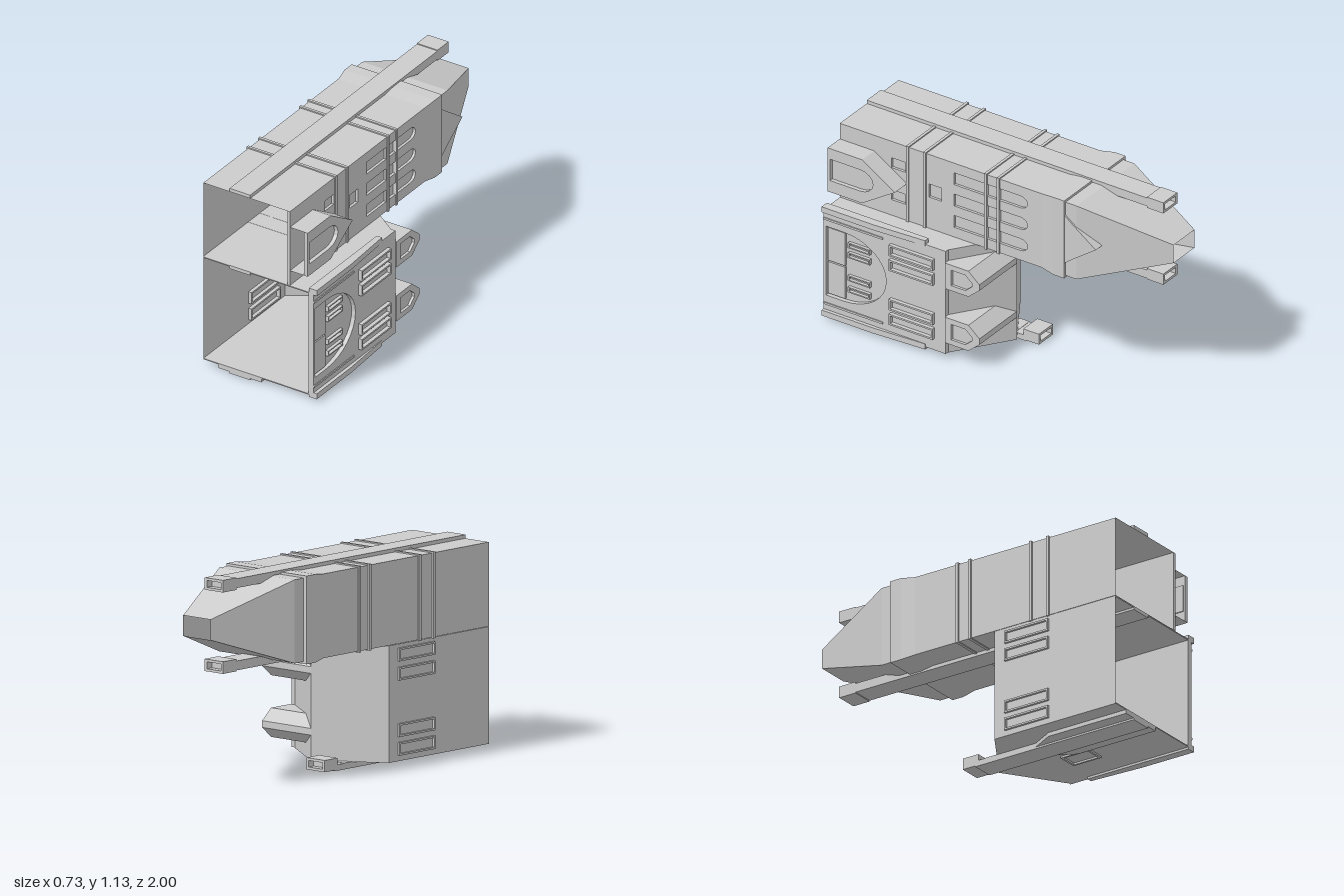
import * as THREE from 'three';

const mat = new THREE.MeshStandardMaterial({ color: 0xcccccc, side: THREE.DoubleSide, flatShading: true });

const rect = (a0, a1, b0, b1) => [[a0, b0], [a1, b0], [a1, b1], [a0, b1]];
// rectangle whose low-a end is rounded
const arch = (a0, a1, b0, b1, n = 8) => {
  const r = (b1 - b0) / 2, c = (b0 + b1) / 2, len = Math.min(r * 1.3, a1 - a0), pts = [[a1, b0]];
  for (let i = 0; i <= n; i++) {
    const t = -Math.PI / 2 + (Math.PI * i) / n;
    pts.push([a0 + len - Math.cos(t) * len, c + Math.sin(t) * r]);
  }
  return [...pts, [a1, b1]];
};
const shapeOf = (pts, holes = []) => {
  const s = new THREE.Shape(pts.map(p => new THREE.Vector2(...p)));
  s.holes = holes.map(h => new THREE.Path(h.map(p => new THREE.Vector2(...p))));
  return s;
};
const extrude = (pts, depth, holes) =>
  new THREE.ExtrudeGeometry(shapeOf(pts, holes), { depth, bevelEnabled: false });
// outline in (z, y), filling x0..x1
const sidePlate = (pts, x0, x1, holes) => extrude(pts, x1 - x0, holes).rotateY(-Math.PI / 2).translate(x1, 0, 0);
// outline in (x, z), filling y0..y1
const flatPlate = (pts, y0, y1, holes) => extrude(pts, y1 - y0, holes).rotateX(Math.PI / 2).translate(0, y1, 0);
// outline in (x, y), filling z0..z1
const crossPlate = (pts, z0, z1, holes) => extrude(pts, z1 - z0, holes).translate(0, 0, z0);
const box = (x0, x1, y0, y1, z0, z1) =>
  new THREE.BoxGeometry(x1 - x0, y1 - y0, z1 - z0).translate((x0 + x1) / 2, (y0 + y1) / 2, (z0 + z1) / 2);

// skin between rings of [x, y, z] points
function loft(rings, closed = true) {
  const pos = [];
  for (let r = 0; r < rings.length - 1; r++) {
    const A = rings[r], B = rings[r + 1], n = A.length;
    for (let i = 0; i < (closed ? n : n - 1); i++) {
      const j = (i + 1) % n;
      pos.push(...A[i], ...A[j], ...B[j], ...A[i], ...B[j], ...B[i]);
    }
  }
  const g = new THREE.BufferGeometry();
  g.setAttribute('position', new THREE.Float32BufferAttribute(pos, 3));
  g.computeVertexNormals();
  return g;
}

export function createModel() {
  const model = new THREE.Group();
  const add = (name, geo) => {
    const m = new THREE.Mesh(geo, mat);
    m.name = name;
    model.add(m);
  };

  // Upper hull: open tube with a collar and a tapering tail
  const sections = [
    [1, -0.355, 0.175, 0.66, 1.11], [-0.29, -0.355, 0.175, 0.66, 1.11], [-0.29, -0.355, 0.19, 0.66, 1.11],
    [-0.37, -0.37, 0.2, 0.648, 1.12], [-0.44, -0.37, 0.2, 0.648, 1.12], [-0.44, -0.35, 0.187, 0.66, 1.107],
    [-0.51, -0.35, 0.187, 0.66, 1.107], [-1, -0.197, -0.003, 0.83, 0.94],
  ];
  add('upperHull', loft(sections.map(([z, x0, x1, y0, y1]) => rect(x0, x1, y0, y1).map(([x, y]) => [x, y, z]))));

  // Side wall with recessed windows
  const windows = [rect(0.35, 0.43, 0.85, 0.93), rect(0.58, 0.67, 0.95, 1.01), rect(0.58, 0.67, 0.755, 0.815)];
  for (const y of [1.015, 0.885, 0.755]) {
    windows.push(rect(0.08, 0.27, y - 0.036, y + 0.036), rect(-0.01, 0.06, y - 0.036, y + 0.036),
      arch(-0.2, -0.02, y - 0.036, y + 0.036));
  }
  add('windowWall', sidePlate(rect(-0.29, 1, 0.66, 1.11), 0.175, 0.19, windows));

  // Ribs around the upper hull
  for (const z of [0.565, 0.455, 0.065, -0.015]) {
    add('hullRib', crossPlate(rect(-0.364, 0.197, 0.654, 1.117), z - 0.008, z + 0.008,
      [rect(-0.355, 0.189, 0.661, 1.109)]));
  }

  // Pointed wedge from the collar onto the tail
  add('tailWedge', sidePlate([[-0.44, 1.03], [-0.5, 0.985], [-0.64, 0.885], [-0.5, 0.785], [-0.44, 0.74]], 0.14, 0.196));

  // Arrow-shaped side pod, open at the front, with an arched recess
  const pod = [[1, 1.015], [0.78, 1.015], [0.57, 0.885], [0.78, 0.75], [1, 0.75]];
  add('podSides', loft([0.19, 0.3].map(x => pod.map(([z, y]) => [x, y, z])), false));
  add('podFace', sidePlate(pod, 0.28, 0.303, [arch(0.71, 0.985, 0.82, 0.95)]));
  add('podRecess', sidePlate(arch(0.7, 0.99, 0.81, 0.96), 0.274, 0.28));

  // Hollow-ended nozzle block used on every rail
  const railEnd = (y0, y1, z0, z1) => {
    add('railEnd', crossPlate(rect(-0.19, -0.06, y0, y1), z0, z1, [rect(-0.175, -0.075, y0 + 0.014, y1 - 0.014)]));
    add('railEndCore', box(-0.18, -0.07, y0 + 0.01, y1 - 0.01, z0 + 0.04, z1));
  };
  // Upper and lower rails, mirrored about the hull mid-height
  for (const s of [1, -1]) {
    const Y = d => 0.885 + s * d;
    const rail = [[1, 0.225], [1, 0.245], [-0.8, 0.245], [-0.8, 0.195], [-0.6, 0.195], [-0.5, 0.225]];
    add('hullRail', sidePlate(rail.map(([z, d]) => [z, Y(d)]), -0.19, -0.06));
    railEnd(Math.min(Y(0.185), Y(0.25)), Math.max(Y(0.185), Y(0.25)), -0.895, -0.79);
  }

  // Lower bay: floor, roof and plain walls, open at the front
  const bay = [[-0.355, 1], [-0.355, 0.22], [0, 0], [0.315, 0.22], [0.315, 1]];
  add('bayFloor', flatPlate(bay, 0.032, 0.038));
  add('bayRoof', flatPlate(bay, 0.652, 0.658));
  add('bayWalls', loft([0.035, 0.655].map(y => bay.slice(0, 3).map(([x, z]) => [x, y, z])), false));

  // Slanted rear wall with openings into the fins
  const finY = [0.515, 0.185];
  const finShape = (cy, k = 1) => [[0.22, -0.078], [0.07, -0.078], [0, -0.018], [0, 0.018], [0.07, 0.078], [0.22, 0.078]]
    .map(([z, y]) => [0.12 + (z - 0.12) * k, cy + y * k]);
  const slant = new THREE.ShapeGeometry(shapeOf(rect(0, 0.22, 0.035, 0.655), finY.map(c => finShape(c, 0.97))));
  const sp = slant.attributes.position;
  for (let i = 0; i < sp.count; i++) {
    const z = sp.getX(i);
    sp.setXYZ(i, z * 0.315 / 0.22, sp.getY(i), z);
  }
  slant.computeVertexNormals();
  add('rearWall', slant);

  // Hollow fins behind the rear wall
  for (const c of finY) {
    const p = finShape(c);
    add('finSides', loft([p.map(([z, y]) => [z * 0.315 / 0.22, y, z]), p.map(([z, y]) => [0.345, y, z])]));
    add('finCap', sidePlate(p, 0.33, 0.347, [finShape(c, 0.6)]));
    add('finCapRecess', sidePlate(finShape(c, 0.7), 0.326, 0.332));
  }

  // Outer side panel with a rounded recess
  const recess = arch(0.6, 0.985, 0.14, 0.56, 16);
  add('sidePanelBacking', box(0.308, 0.316, 0.035, 0.655, 0.22, 1));
  add('sidePanel', sidePlate(rect(0.22, 1, 0.035, 0.66), 0.316, 0.34, [recess]));
  add('recessBlock', box(0.316, 0.33, 0.15, 0.342, 0.87, 0.98));
  add('recessBlock', box(0.316, 0.33, 0.35, 0.55, 0.87, 0.98));

  // Raised slot frames
  const frame = (name, z0, z1, y0, y1, x0, x1, t = 0.01) =>
    add(name, sidePlate(rect(z0, z1, y0, y1), x0, x1, [rect(z0 + t, z1 - t, y0 + t, y1 - t)]));
  for (const y of [0.485, 0.425, 0.285, 0.215]) frame('recessSlot', 0.71, 0.85, y - 0.016, y + 0.016, 0.316, 0.334, 0.007);
  for (const y of [0.56, 0.47, 0.23, 0.14]) frame('panelSlot', 0.29, 0.57, y - 0.033, y + 0.033, 0.335, 0.362);
  for (const y of [0.602, 0.5, 0.198, 0.098]) frame('leftWallSlot', 0.29, 0.57, y - 0.035, y + 0.035, -0.368, -0.335);

  // Lip rails along the panel's top and bottom edges
  const lip = [[0.31, 1], [0.36, 1], [0.36, 0.67], [0.342, 0.35], [0.31, 0.35]];
  for (const y of [0.02, 0.65]) add('panelLip', flatPlate(lip, y, y + 0.033));
  for (const y of [0.085, 0.6]) add('panelStrip', box(0.335, 0.346, y, y + 0.012, 0.62, 1));

  // Keel plate, wide at the front and narrowing to a rail
  add('keelPlate', flatPlate([[-0.26, 1], [0.01, 1], [0.01, 0.5], [-0.06, 0.37], [-0.06, 0.05],
    [-0.19, 0.05], [-0.19, 0.37], [-0.26, 0.5]], 0.01, 0.034));
  add('keelRail', box(-0.19, -0.06, 0, 0.032, -0.02, 1));
  railEnd(0.005, 0.068, -0.1, 0);

  // Small hatch frame under the floor
  add('floorHatch', flatPlate(rect(0.02, 0.14, 0.38, 0.56), 0.022, 0.05, [rect(0.032, 0.128, 0.392, 0.548)]));

  return model;
}
